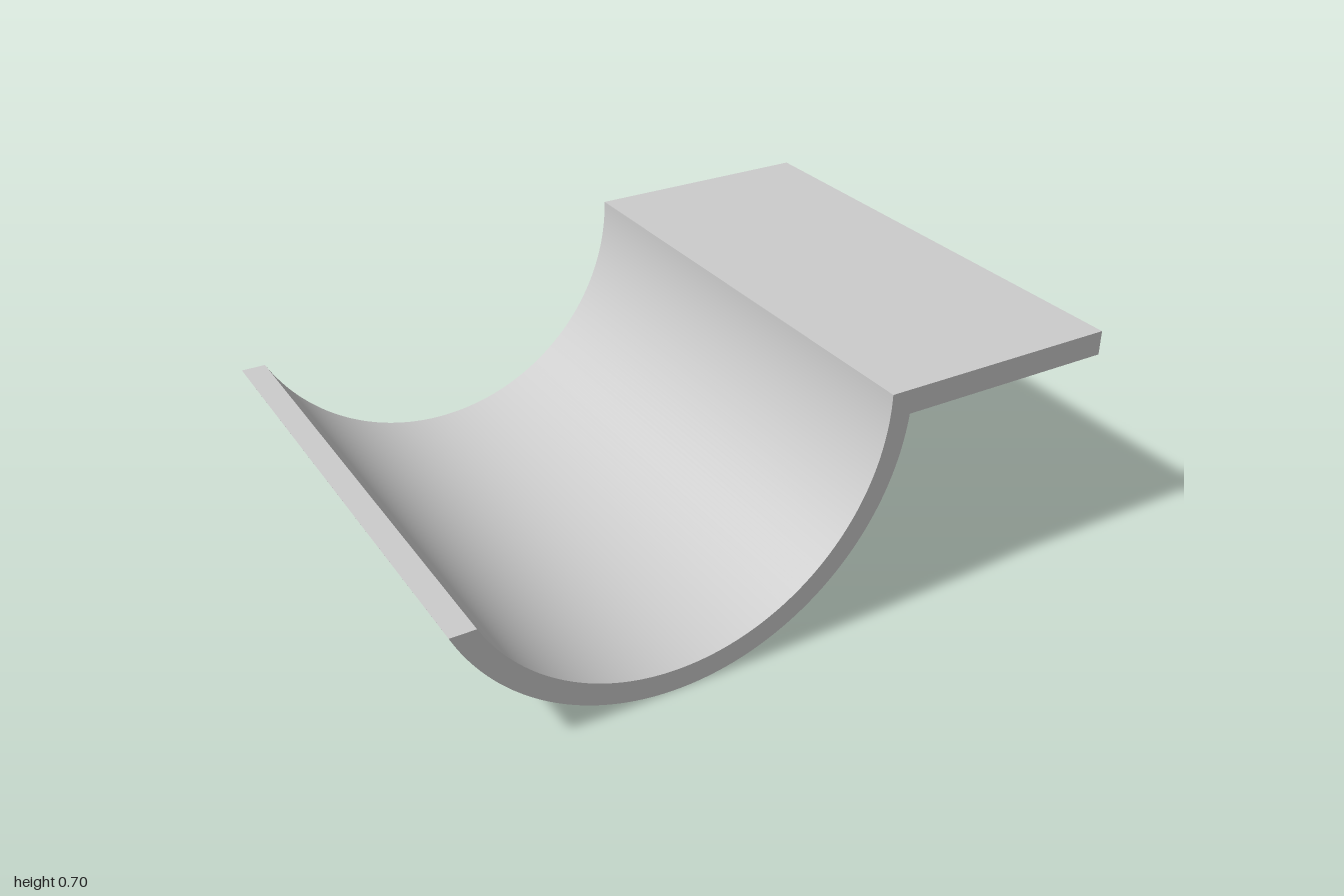
import * as THREE from 'three';
import { toCreasedNormals } from 'three/addons/utils/BufferGeometryUtils.js';

export function createModel() {
  const group = new THREE.Group();
  group.name = 'troughBracket';

  const cx = -0.367, top = 0.70;          // centre of the arcs, height of the top face
  const rIn = 0.635, rOut = 0.70;         // trough radii
  const lipY = 0.407, ledgeY = 0.627;     // level of the left lip, underside of the ledge
  const depth = 1.545;

  // Angles at which each arc meets the lip and the ledge
  const lipAngle = (r) => -Math.PI + Math.asin((top - lipY) / r);
  const ledgeAngle = -Math.asin((top - ledgeY) / rOut);

  // One continuous section: flat ledge, inner arc, level lip, outer arc
  const section = new THREE.Shape();
  section.moveTo(1, ledgeY);
  section.lineTo(1, top);
  section.lineTo(cx + rIn, top);
  section.absarc(cx, top, rIn, 0, lipAngle(rIn), true);
  section.absarc(cx, top, rOut, lipAngle(rOut), ledgeAngle, false);
  section.closePath();

  const geometry = new THREE.ExtrudeGeometry(section, { depth, bevelEnabled: false, curveSegments: 64 });
  geometry.translate(0, 0, -depth / 2);

  const body = new THREE.Mesh(
    toCreasedNormals(geometry, Math.PI / 6),
    new THREE.MeshStandardMaterial({ color: 0xcccccc })
  );
  body.name = 'troughAndLedge';
  group.add(body);
  return group;
}
